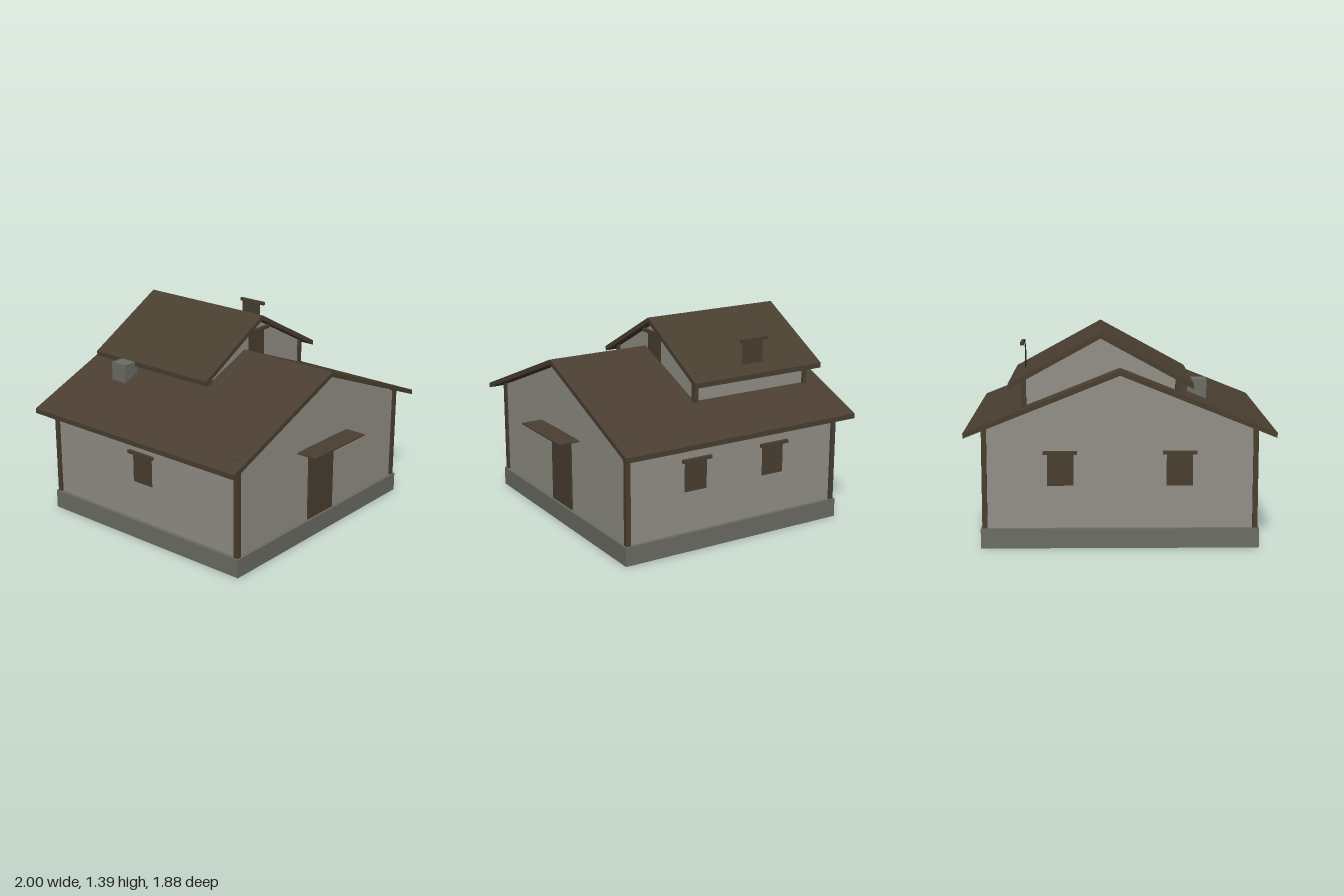
import * as THREE from 'three';

export function createModel() {
  const house = new THREE.Group();
  house.name = 'house';

  const mat = (name, color, side = THREE.FrontSide) => {
    const m = new THREE.MeshStandardMaterial({ color, side });
    m.name = name;
    return m;
  };
  const wood = mat('dark wood', 0x4a3f31, THREE.DoubleSide);
  const plaster = mat('plaster', 0x929086);
  const stone = mat('stone', 0x6c6d64, THREE.DoubleSide);

  const add = (name, geometry, material, parent = house) => {
    const mesh = new THREE.Mesh(geometry, material);
    mesh.name = name;
    parent.add(mesh);
    return mesh;
  };

  // Box given by its limits on each axis
  const block = (name, material, [x0, x1], [y0, y1], [z0, z1]) => {
    const g = new THREE.BoxGeometry(x1 - x0, y1 - y0, z1 - z0);
    g.translate((x0 + x1) / 2, (y0 + y1) / 2, (z0 + z1) / 2);
    return add(name, g, material);
  };

  // Outline in x and y, drawn out from z0 to z1
  const prism = (name, material, points, z0, z1) => {
    const shape = new THREE.Shape(points.map(([x, y]) => new THREE.Vector2(x, y)));
    const g = new THREE.ExtrudeGeometry(shape, { depth: z1 - z0, bevelEnabled: false });
    g.translate(0, 0, z0);
    return add(name, g, material);
  };

  const gableWalls = (name, cx, half, base, eave, ridge, z0, z1) =>
    prism(name, plaster, [
      [cx - half, base], [cx + half, base], [cx + half, eave], [cx, ridge], [cx - half, eave],
    ], z0, z1);

  const gableRoof = (name, cx, half, eave, ridge, t, z0, z1) =>
    prism(name, wood, [
      [cx - half, eave - t], [cx, ridge - t], [cx + half, eave - t],
      [cx + half, eave], [cx, ridge], [cx - half, eave],
    ], z0, z1);

  // Four posts with their outer corners on the given rectangle
  const cornerPosts = (name, x0, x1, z0, z1, y0, y1, w) => {
    for (const x of [x0, x1 - w])
      for (const z of [z0, z1 - w]) block(name, wood, [x, x + w], [y0, y1], [z, z + w]);
  };

  // Shuttered window with a lintel, top at y, facing +z before the turn
  const addWindow = (name, x, y, z, turn) => {
    const group = new THREE.Group();
    group.name = name;
    group.position.set(x, y, z);
    group.rotation.y = turn;
    house.add(group);
    add('shutter', new THREE.PlaneGeometry(0.17, 0.21), wood, group).position.set(0, -0.105, 0.005);
    add('lintel', new THREE.BoxGeometry(0.22, 0.022, 0.022), wood, group).position.set(0, 0.008, 0.023);
  };

  // Foundation, hollow and open underneath
  const base = block('foundation', stone, [-0.9, 0.9], [0, 0.13], [-0.88, 0.8]);
  const index = Array.from(base.geometry.index.array);
  index.splice(18, 6);
  base.geometry.setIndex(index);
  base.geometry.clearGroups();

  // Main body
  gableWalls('mainWalls', 0, 0.875, 0.13, 0.775, 1.126, -0.855, 0.775);
  cornerPosts('mainCornerPost', -0.89, 0.89, -0.87, 0.79, 0.13, 0.813, 0.033);
  gableRoof('mainRoof', 0, 1, 0.766, 1.166, 0.034, -0.94, 0.853);

  // Raised upper storey, running down through the main body
  gableWalls('upperWalls', 0.123, 0.495, 0.004, 1.083, 1.352, -0.795, 0.11);
  block('upperFloor', stone, [-0.372, 0.618], [0, 0.004], [-0.795, 0.11]);
  cornerPosts('upperCornerPost', -0.389, 0.635, -0.807, 0.122, 0, 1.118, 0.034);
  gableRoof('upperRoof', 0.123, 0.593, 1.069, 1.393, 0.034, -0.861, 0.166);

  // Door, its lintel and the canopy
  block('door', wood, [-0.138, 0.138], [0.02, 0.61], [0.765, 0.785]);
  block('doorLintel', wood, [-0.193, 0.193], [0.632, 0.657], [0.775, 0.806]);
  block('doorCanopy', wood, [-0.277, 0.277], [0.657, 0.666], [0.79, 0.94]);

  // Windows
  const q = Math.PI / 2;
  for (const z of [0.265, -0.345]) addWindow('rightWindow', 0.875, 0.619, z, q);
  for (const x of [0.385, -0.385]) addWindow('backWindow', x, 0.619, -0.855, 2 * q);
  addWindow('leftWindow', -0.875, 0.619, -0.04, -q);
  addWindow('upperFrontWindow', 0.123, 1.277, 0.11, 0);
  addWindow('upperSideWindow', 0.623, 1.277, -0.345, q);

  // Chimney
  block('chimney', stone, [-0.57, -0.445], [0.88, 1.067], [-0.612, -0.488]);

  return house;
}
